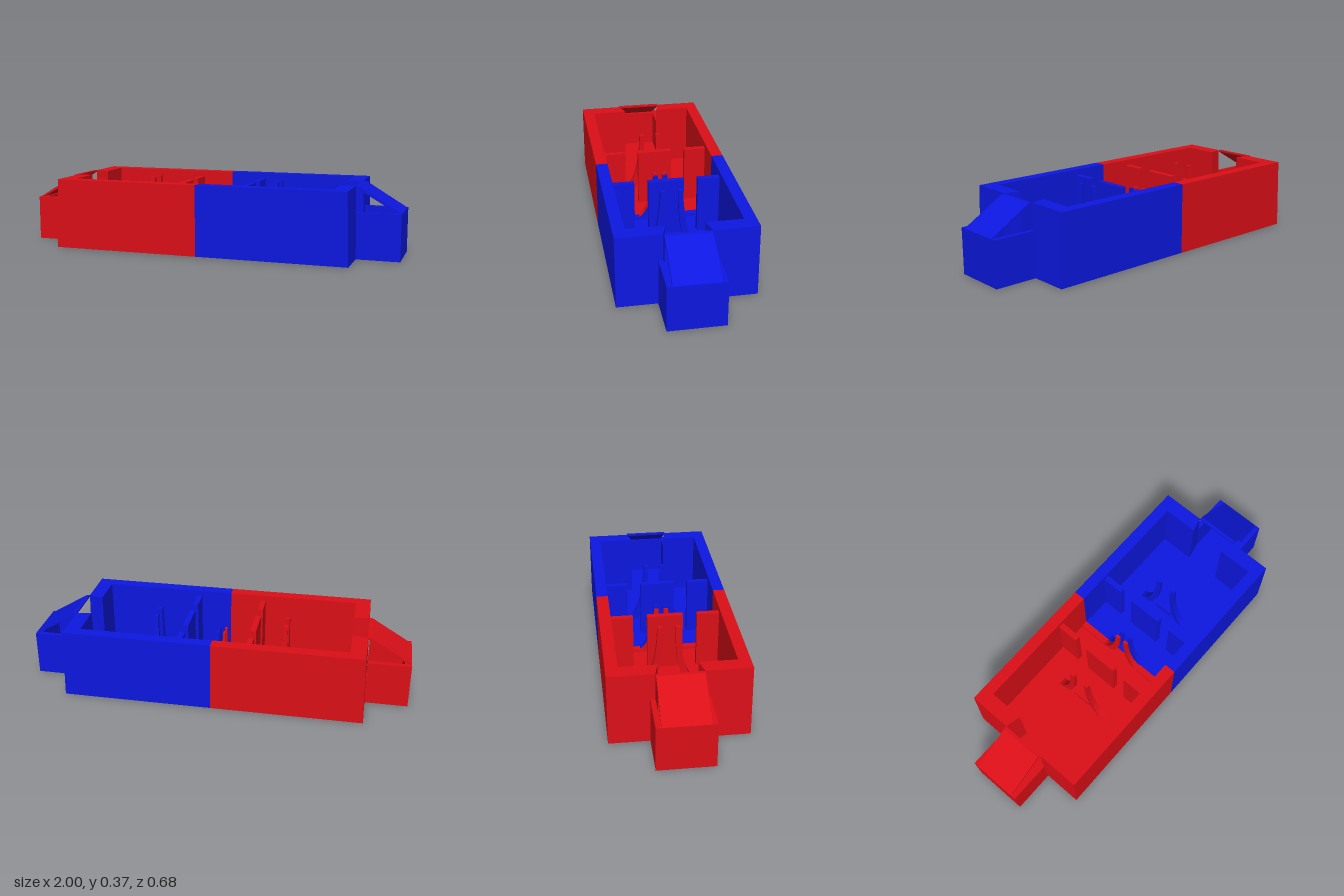
import * as THREE from 'three';

const FLOOR = 0.03;
const TOP = 0.365;

// Extrudes a plan outline [x, z] upward from y = 0
function extrudeUp(points, height) {
  const shape = new THREE.Shape(points.map(([x, z]) => new THREE.Vector2(x, -z)));
  return new THREE.ExtrudeGeometry(shape, { depth: height, bevelEnabled: false }).rotateX(-Math.PI / 2);
}

// Box given by its low and high corners
function block(x0, x1, y0, y1, z0, z1) {
  return new THREE.BoxGeometry(x1 - x0, y1 - y0, z1 - z0)
    .translate((x0 + x1) / 2, (y0 + y1) / 2, (z0 + z1) / 2);
}

// Curved fin: a wide foot on the floor sweeping up to a slim tip
function fin(x, side, foot, tip, height, footWidth, tipWidth) {
  const shape = new THREE.Shape();
  shape.moveTo(foot, FLOOR);
  shape.quadraticCurveTo(tip + 0.02, FLOOR + 0.05, tip + 0.012, height);
  shape.lineTo(tip - 0.012, height);
  shape.quadraticCurveTo(tip - 0.01, FLOOR + 0.04, foot - 0.05, FLOOR);
  const geo = new THREE.ExtrudeGeometry(shape, { depth: 1, bevelEnabled: false, curveSegments: 8 });
  geo.translate(0, 0, -0.5).rotateY(-Math.PI / 2);
  // Narrow the fin from foot to tip
  const p = geo.attributes.position;
  for (let i = 0; i < p.count; i++) {
    const t = THREE.MathUtils.clamp((p.getZ(i) - tip) / (foot - tip), 0, 1);
    p.setX(i, p.getX(i) * THREE.MathUtils.lerp(tipWidth, footWidth, t));
  }
  if (side < 0) geo.rotateY(Math.PI);
  geo.translate(x, 0, 0);
  geo.computeVertexNormals();
  return geo;
}

// One half of the arena, reaching toward +x
function createHalf(name, color) {
  const half = new THREE.Group();
  half.name = name;
  const material = new THREE.MeshStandardMaterial({ color, flatShading: true });
  const add = (part, geometry) => {
    const mesh = new THREE.Mesh(geometry, material);
    mesh.name = part;
    half.add(mesh);
  };

  // Floors
  add('floor', block(0, 0.7, 0, FLOOR, -0.29, 0.29));
  add('bayFloor', block(0.69, 0.97, 0, FLOOR, -0.115, 0.115));

  for (const s of [1, -1]) {
    // Side wall and its return at the end, leaning in slightly at the outer face
    const wall = extrudeUp([
      [0, 0.34 * s], [0.78, 0.34 * s], [0.78, 0.115 * s],
      [0.69, 0.095 * s], [0.69, 0.28 * s], [0, 0.28 * s],
    ], TOP);
    const p = wall.attributes.position;
    for (let i = 0; i < p.count; i++) {
      if (p.getX(i) > 0.75 && p.getY(i) > 0.1) p.setX(i, 0.768);
    }
    wall.computeVertexNormals();
    add('wall', wall);

    // Dividers against the side walls
    const z = [0.165 * s, 0.285 * s].sort((a, b) => a - b);
    add('sideDivider', block(0.165, 0.195, FLOOR, 0.335, z[0], z[1]));

    // Low strip along the middle line
    const m = [0.115 * s, 0.285 * s].sort((a, b) => a - b);
    add('middleStrip', block(0, 0.035, FLOOR, 0.045, m[0], m[1]));

    // Tall goal fins and the shorter fins of the middle
    add('goalFin', fin(0.345, s, 0.15, 0.045, 0.36, 0.042, 0.02));
    add('middleFin', fin(0.018, s, 0.112, 0.025, 0.28, 0.034, 0.012));
  }

  // Middle divider and the low tie between the goal fins
  add('middleDivider', block(0.165, 0.195, FLOOR, 0.335, -0.092, 0.092));
  add('goalTie', block(0.335, 0.355, FLOOR, 0.06, -0.05, 0.05));

  // End bay, open toward the arena
  add('bayWalls', extrudeUp([
    [0.78, 0.14], [1, 0.14], [1, -0.14], [0.78, -0.14],
    [0.78, -0.115], [0.965, -0.115], [0.965, 0.115], [0.78, 0.115],
  ], 0.235));

  // Thin sloping roof over the bay
  const profile = new THREE.Shape([[0.98, 0.235], [1, 0.235], [0.785, 0.365], [0.768, 0.365], [0.768, 0.356]]
    .map(([x, y]) => new THREE.Vector2(x, y)));
  add('bayRoof', new THREE.ExtrudeGeometry(profile, { depth: 0.226, bevelEnabled: false }).translate(0, 0, -0.113));
  return half;
}

export function createModel() {
  const model = new THREE.Group();
  model.name = 'arena';
  const blue = createHalf('blueHalf', 0x0d17e0);
  const red = createHalf('redHalf', 0xdc0f18);
  red.rotation.y = Math.PI;
  model.add(blue, red);
  return model;
}
